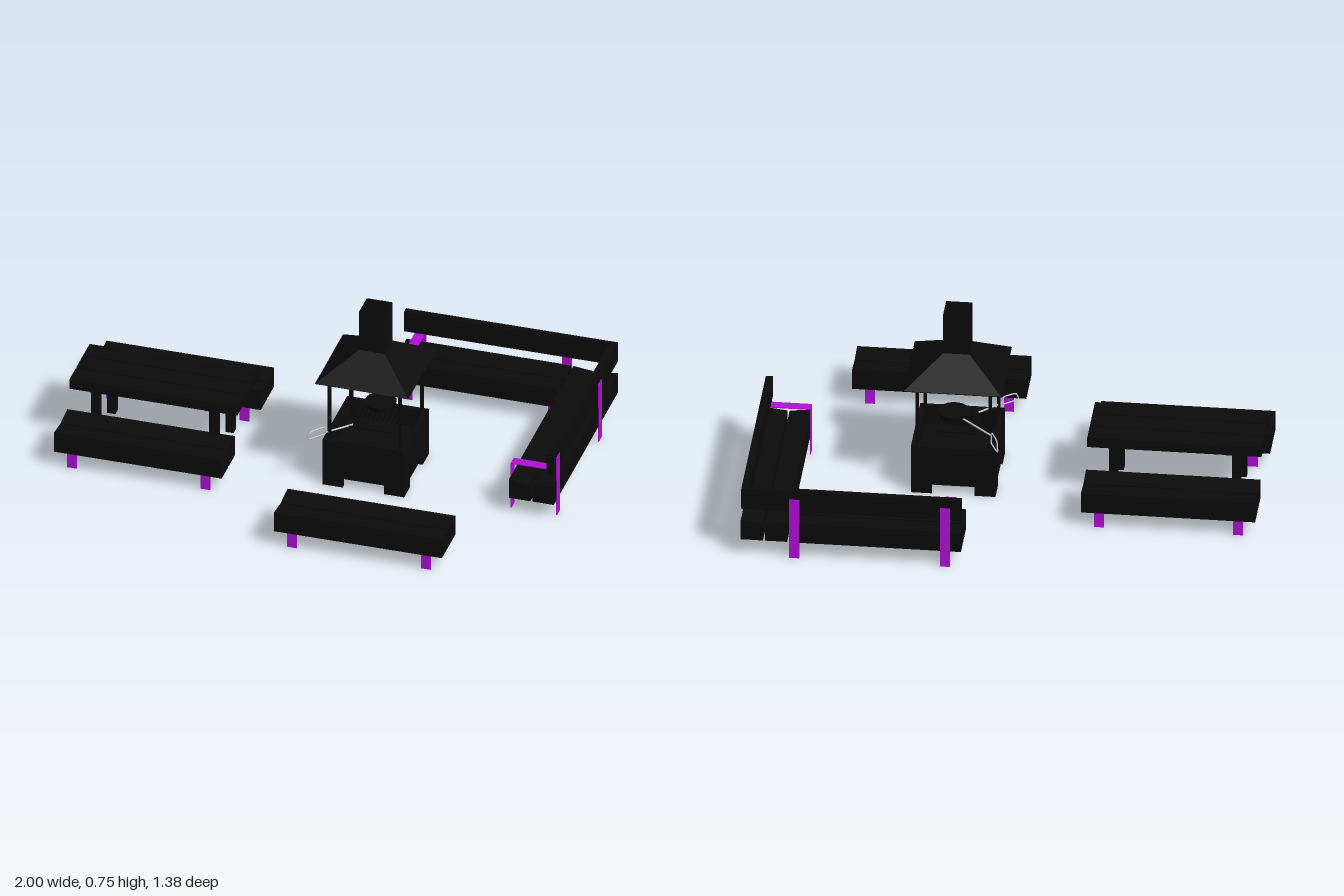
import * as THREE from 'three';

const black = new THREE.MeshStandardMaterial({ color: 0x0b0b0b, side: THREE.DoubleSide });
const purple = new THREE.MeshStandardMaterial({ color: 0xb40fdc });
const grey = new THREE.MeshStandardMaterial({ color: 0xcccccc });

function add(parent, name, geometry, material, x = 0, y = 0, z = 0) {
  const mesh = new THREE.Mesh(geometry, material);
  mesh.name = name;
  mesh.position.set(x, y, z);
  parent.add(mesh);
  return mesh;
}

// Box given by its minimum and maximum on each axis
function block(parent, name, material, [x0, x1], [y0, y1], [z0, z1]) {
  return add(parent, name, new THREE.BoxGeometry(x1 - x0, y1 - y0, z1 - z0), material,
    (x0 + x1) / 2, (y0 + y1) / 2, (z0 + z1) / 2);
}

// Seat beam with a top that dips towards the middle of the bench
function seatBeam(parent, length, side) {
  const s = new THREE.Shape();
  s.moveTo(0.004, 0.07);
  s.lineTo(0.092, 0.07);
  s.lineTo(0.092, 0.157);
  s.lineTo(0.004, 0.147);
  const g = new THREE.ExtrudeGeometry(s, { depth: length, bevelEnabled: false });
  g.translate(0, 0, -length / 2);
  g.rotateY(side * Math.PI / 2);
  add(parent, 'seatBeam', g, black);
}

// Bent flat-steel stand; backed stands rise behind the backrest, armed ones carry an armrest
function stand(parent, x, { backed = false, armed = false } = {}) {
  const w = [x - 0.02, x + 0.02], t = 0.004;
  const front = backed ? 0.097 : 0.08, back = backed ? -0.094 : -0.08;
  block(parent, 'standFront', purple, w, [0, armed ? 0.207 : 0.07], [front - t, front]);
  block(parent, 'standBack', purple, w, [0, backed ? 0.265 : 0.07], [back, back + t]);
  block(parent, 'standCrossStrip', purple, w, [0.066, 0.07], [back, front]);
  if (armed) block(parent, 'armrest', purple, w, [0.203, 0.207], [back, front]);
}

function bench(parent, name, length, x, z) {
  const g = new THREE.Group();
  g.name = name;
  g.position.set(x, 0, z);
  for (const side of [-1, 1]) {
    seatBeam(g, length, side);
    stand(g, side * 0.28 + (side < 0 ? 0.01 : -0.01) * 0.5);
  }
  parent.add(g);
  return g;
}

// Bench with a backrest on its local -z side
function backedBench(parent, name, length, backRange, armX, plainX) {
  const g = new THREE.Group();
  g.name = name;
  for (const side of [-1, 1]) seatBeam(g, length, side);
  block(g, 'backrest', black, backRange, [0.21, 0.3], [-0.09, -0.062]);
  stand(g, armX, { backed: true, armed: true });
  stand(g, plainX, { backed: true });
  parent.add(g);
  return g;
}

function table(parent) {
  const g = new THREE.Group();
  g.name = 'table';
  g.position.set(-0.655, 0, 0.0275);
  for (const i of [-1, 0, 1])
    block(g, 'tablePlank', black, [-0.345, 0.345], [0.235, 0.278], [i * 0.094 - 0.0435, i * 0.094 + 0.0435]);
  for (const s of [-1, 1]) {
    const x = s * 0.243;
    add(g, 'tableCrossPlate', new THREE.BoxGeometry(0.06, 0.006, 0.26), black, s * 0.233, 0.232, 0);
    for (const z of [-0.11, 0.11])
      add(g, 'tableLeg', new THREE.BoxGeometry(0.034, 0.235, 0.034), black, x, 0.1175, z);
  }
  parent.add(g);
}

// Square open frustum between two heights, half widths r0 and r1
function frustum(r0, r1, h) {
  const g = new THREE.CylinderGeometry(r1 * Math.SQRT2, r0 * Math.SQRT2, h, 4, 1, true).toNonIndexed();
  g.rotateY(Math.PI / 4);
  g.computeVertexNormals();
  return g;
}

// Wire loop handle on a rod that reaches towards the fire
function handle(parent, [x0, z0], [x1, z1], [x2, z2], low, high, rodY) {
  const at = (t, y) => new THREE.Vector3(x0 + (x1 - x0) * t, y, z0 + (z1 - z0) * t);
  const loop = [at(0, low + 0.006), at(0.1, low), at(0.9, low + 0.004), at(1, low + 0.012),
    at(0.9, high), at(0.3, high - 0.003), at(0.1, high - 0.01)];
  add(parent, 'loopHandle', new THREE.TubeGeometry(
    new THREE.CatmullRomCurve3(loop, true, 'catmullrom', 0.3), 32, 0.003, 6, true), grey);
  add(parent, 'handleRod', new THREE.TubeGeometry(new THREE.LineCurve3(
    at(1, rodY), new THREE.Vector3(x2, rodY, z2)), 1, 0.004, 6), grey);
}

function fireplace(parent) {
  const g = new THREE.Group();
  g.name = 'fireplace';
  g.position.set(0.2175, 0, 0.0275);
  const R = 0.1675, T = 0.02, F = 0.085;

  // Four walls with a notch between the corner feet
  for (let i = 0; i < 4; i++) {
    const s = new THREE.Shape();
    [[-R, 0], [-F, 0], [-F, 0.04], [F, 0.04], [F, 0], [R, 0], [R, 0.21], [-R, 0.21]]
      .forEach(([x, y], k) => (k ? s.lineTo(x, y) : s.moveTo(x, y)));
    const wall = new THREE.ExtrudeGeometry(s, { depth: T, bevelEnabled: false });
    wall.translate(0, 0, R - T);
    wall.rotateY(i * Math.PI / 2);
    add(g, 'fireplaceWall', wall, black);
  }
  block(g, 'fireBed', black, [-R + T, R - T], [0.04, 0.13], [-R + T, R - T]);
  block(g, 'pedestal', black, [-F, F], [0, 0.04], [-F, F]);

  // Hood on four posts, with an open chimney
  for (const x of [-0.145, 0.145]) for (const z of [-0.147, 0.147])
    add(g, 'hoodPost', new THREE.BoxGeometry(0.013, 0.355, 0.013), black, x, 0.3025, z);
  add(g, 'hood', frustum(0.1925, 0.0525, 0.1), black, 0, 0.526, 0);
  add(g, 'chimney', frustum(0.0525, 0.0525, 0.177), black, 0, 0.6645, 0);

  // Grill grate and raised pan
  for (let i = -4; i <= 4; i++)
    add(g, 'grateBar', new THREE.BoxGeometry(0.005, 0.005, 0.17), black, i * 0.02, 0.236, 0);
  for (const z of [-0.085, 0.085])
    add(g, 'grateEdge', new THREE.BoxGeometry(0.17, 0.006, 0.006), black, 0, 0.236, z);
  add(g, 'pan', new THREE.CylinderGeometry(0.062, 0.055, 0.025, 24), black, 0.0125, 0.292, -0.03);
  parent.add(g);

  handle(parent, [0.002, 0.24], [0.06, 0.185], [0.145, 0.1], 0.226, 0.262, 0.238);
  handle(parent, [0.033, -0.217], [0.066, -0.155], [0.19, -0.04], 0.25, 0.304, 0.29);
}

export function createModel() {
  const model = new THREE.Group();
  model.name = 'picnicArea';

  table(model);
  bench(model, 'tableFrontBench', 0.69, -0.655, 0.285);
  bench(model, 'tableBackBench', 0.69, -0.655, -0.245);
  bench(model, 'frontBench', 0.69, 0.345, 0.598);

  // Corner seating: two backed benches at right angles
  const back = backedBench(model, 'backCornerBench', 0.68, [-0.34, 0.502], -0.2775, 0.32);
  back.position.set(0.465, 0, -0.6);
  const side = backedBench(model, 'sideCornerBench', 0.875, [-0.4375, 0.4375], 0.3775, -0.1875);
  side.position.set(0.905, 0, -0.2525);
  side.rotation.y = -Math.PI / 2;

  fireplace(model);
  return model;
}
